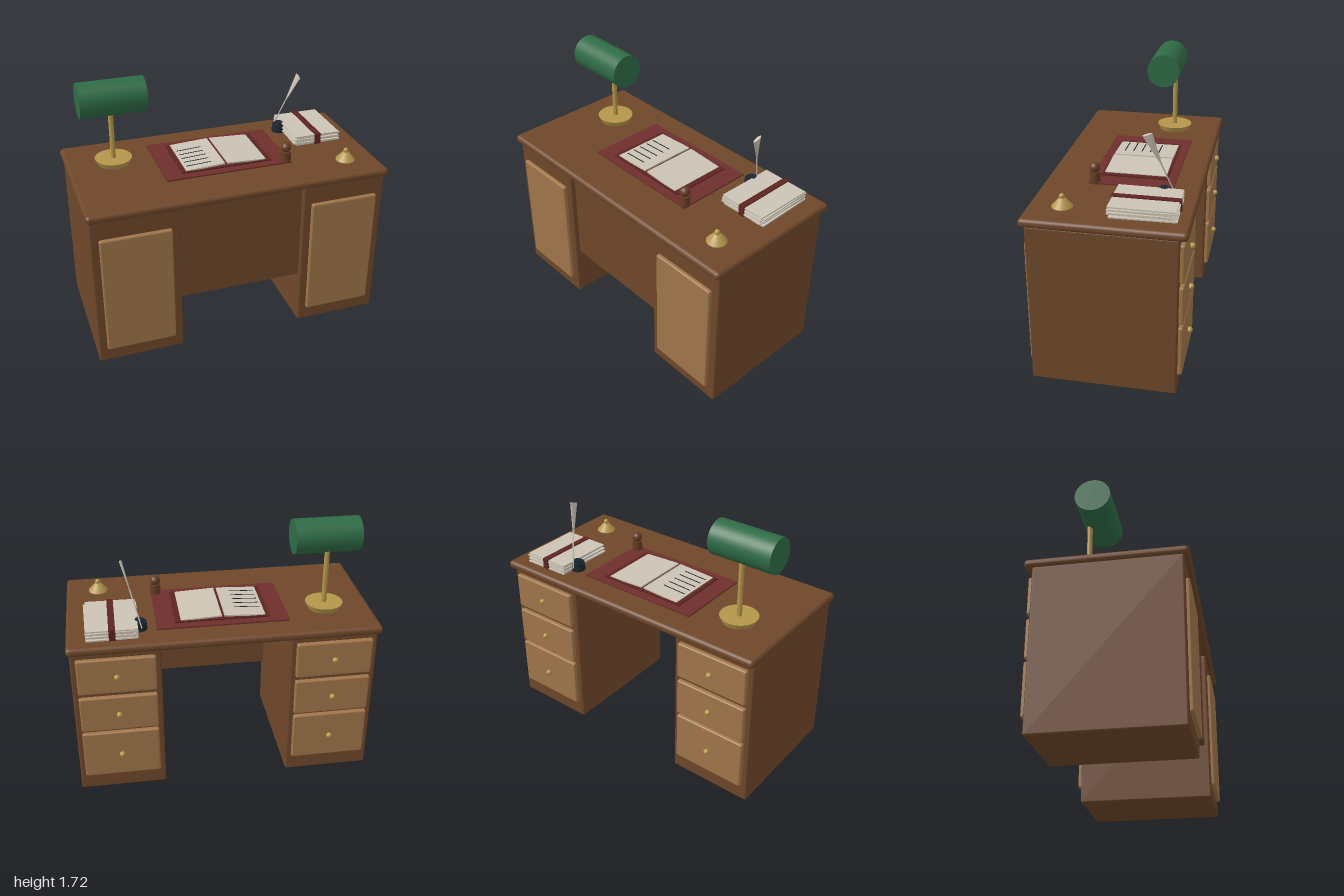
import * as THREE from 'three';
import { RoundedBoxGeometry } from 'three/addons/geometries/RoundedBoxGeometry.js';

const mat = (name, color) => {
  const m = new THREE.MeshStandardMaterial({ color });
  m.name = name;
  return m;
};

export function createModel() {
  const wood = mat('walnut', 0x6f472a);
  const panelWood = mat('light wood', 0xa0754a);
  const brass = mat('brass', 0xb4954a);
  const green = mat('green shade', 0x2e6b46);
  const leather = mat('red leather', 0x6e2f2c);
  const cover = mat('dark red', 0x5c2420);
  const paper = mat('paper', 0xcbc3b4);
  const ink = mat('ink', 0x1c2630);
  const darkWood = mat('stamp wood', 0x653c24);

  const model = new THREE.Group();
  model.name = 'writingDesk';

  const add = (name, geometry, material, x, y, z, parent = model) => {
    const mesh = new THREE.Mesh(geometry, material);
    mesh.name = name;
    mesh.position.set(x, y, z);
    parent.add(mesh);
    return mesh;
  };
  const box = (w, h, d) => new THREE.BoxGeometry(w, h, d);
  const rounded = (w, h, d, r) => new RoundedBoxGeometry(w, h, d, 3, r);
  const cyl = (rt, rb, h, n = 32) => new THREE.CylinderGeometry(rt, rb, h, n);
  const ball = (r) => new THREE.SphereGeometry(r, 24, 16);
  const TOP = 1.115;

  // Desk top and the panel across the knee space
  add('deskTop', rounded(2, 0.056, 0.996, 0.025), wood, 0, TOP - 0.028, 0.002);
  add('kneePanel', box(0.85, 0.69, 0.04), wood, 0, 0.715, 0.412);

  // Pedestals: door panel in front, three drawers with knobs behind
  const drawers = [[0.12, 0.46], [0.48, 0.735], [0.765, 1.015]];
  for (const s of [-1, 1]) {
    const pedestal = new THREE.Group();
    pedestal.name = s > 0 ? 'leftPedestal' : 'rightPedestal';
    pedestal.position.x = s * 0.7;
    model.add(pedestal);
    add('cabinet', rounded(0.57, 1.065, 0.912, 0.012), wood, 0, 0.5325, 0.01, pedestal);
    add('frontPanel', rounded(0.46, 0.83, 0.04, 0.012), panelWood, 0, 0.515, 0.471, pedestal);
    for (const [low, high] of drawers) {
      const y = (low + high) / 2;
      add('drawer', rounded(0.5, high - low, 0.04, 0.012), panelWood, 0, y, -0.455, pedestal);
      add('drawerKnob', ball(0.019), brass, 0, y, -0.487, pedestal);
    }
  }

  // Lamp
  const lamp = new THREE.Group();
  lamp.name = 'lamp';
  lamp.position.set(-0.69, TOP, -0.165);
  model.add(lamp);
  add('lampBase', cyl(0.123, 0.105, 0.04, 40), brass, 0, 0.02, 0, lamp);
  add('lampPole', cyl(0.017, 0.017, 0.42, 20), brass, 0, 0.24, 0, lamp);
  add('lampShade', cyl(0.114, 0.114, 0.43, 40), green, 0, 0.488, 0.058, lamp).rotation.z = Math.PI / 2;

  // Blotter and open book
  add('blotter', box(0.855, 0.01, 0.54), leather, 0, TOP + 0.005, -0.055);
  add('bookCover', box(0.615, 0.008, 0.43), cover, -0.002, TOP + 0.014, -0.055);
  for (const s of [-1, 1]) {
    const page = new THREE.Group();
    page.name = s > 0 ? 'leftPage' : 'rightPage';
    page.position.set(-0.005 + s * 0.142, 1.139, -0.055);
    page.rotation.z = -s * 0.05;
    model.add(page);
    add('pageBlock', box(0.266, 0.01, 0.4), paper, 0, 0, 0, page);
    if (s < 0) {
      for (let i = 0; i < 5; i++) {
        add('writtenLine', box(0.168, 0.002, 0.007), ink, -0.03, 0.0055, 0.026 + (i - 2) * 0.058, page);
      }
    }
  }

  // Bundle of papers tied with a strap
  const turns = [0.02, -0.025, 0.012, -0.02, 0.025, -0.005];
  turns.forEach((turn, i) => {
    const sheet = add('paperSheaf', box(0.325, 0.009, 0.405), paper,
      0.712 + turn * 0.25, TOP + 0.006 + i * 0.0115, -0.207 - turn * 0.2);
    sheet.rotation.y = turn;
  });
  add('paperStrap', box(0.042, 0.074, 0.422), cover, 0.711, TOP + 0.037, -0.207);

  // Inkwell
  add('inkwell', cyl(0.045, 0.049, 0.055), ink, 0.535, TOP + 0.0275, -0.285);
  add('inkwellNeck', cyl(0.028, 0.03, 0.016), ink, 0.535, TOP + 0.061, -0.285);

  // Quill: a thin shaft and a flat blade widening towards the tip
  const quill = new THREE.Group();
  quill.name = 'quill';
  const start = new THREE.Vector3(0.523, 1.15, -0.345);
  const end = new THREE.Vector3(0.628, 1.548, -0.195);
  const length = start.distanceTo(end);
  quill.position.copy(start);
  quill.quaternion.setFromUnitVectors(new THREE.Vector3(0, 1, 0), end.clone().sub(start).normalize());
  model.add(quill);
  add('quillShaft', cyl(0.005, 0.004, length * 0.6, 10), paper, 0, length * 0.3, 0, quill);
  const blade = add('quillBlade', cyl(0.032, 0.005, length * 0.5, 20), paper, 0, length * 0.75, 0, quill);
  blade.scale.x = 0.3;

  // Hand stamp
  add('stampBody', cyl(0.034, 0.036, 0.075), darkWood, 0.397, TOP + 0.0375, 0.18);
  add('stampHead', ball(0.034), darkWood, 0.397, TOP + 0.102, 0.18);

  // Desk bell
  const bellProfile = [[0, 0], [0.064, 0], [0.064, 0.008], [0.022, 0.056], [0, 0.06]]
    .map(([r, y]) => new THREE.Vector2(r, y));
  add('bell', new THREE.LatheGeometry(bellProfile, 32), brass, 0.783, TOP, 0.287);
  add('bellButton', ball(0.017), brass, 0.783, TOP + 0.07, 0.287);

  return model;
}
